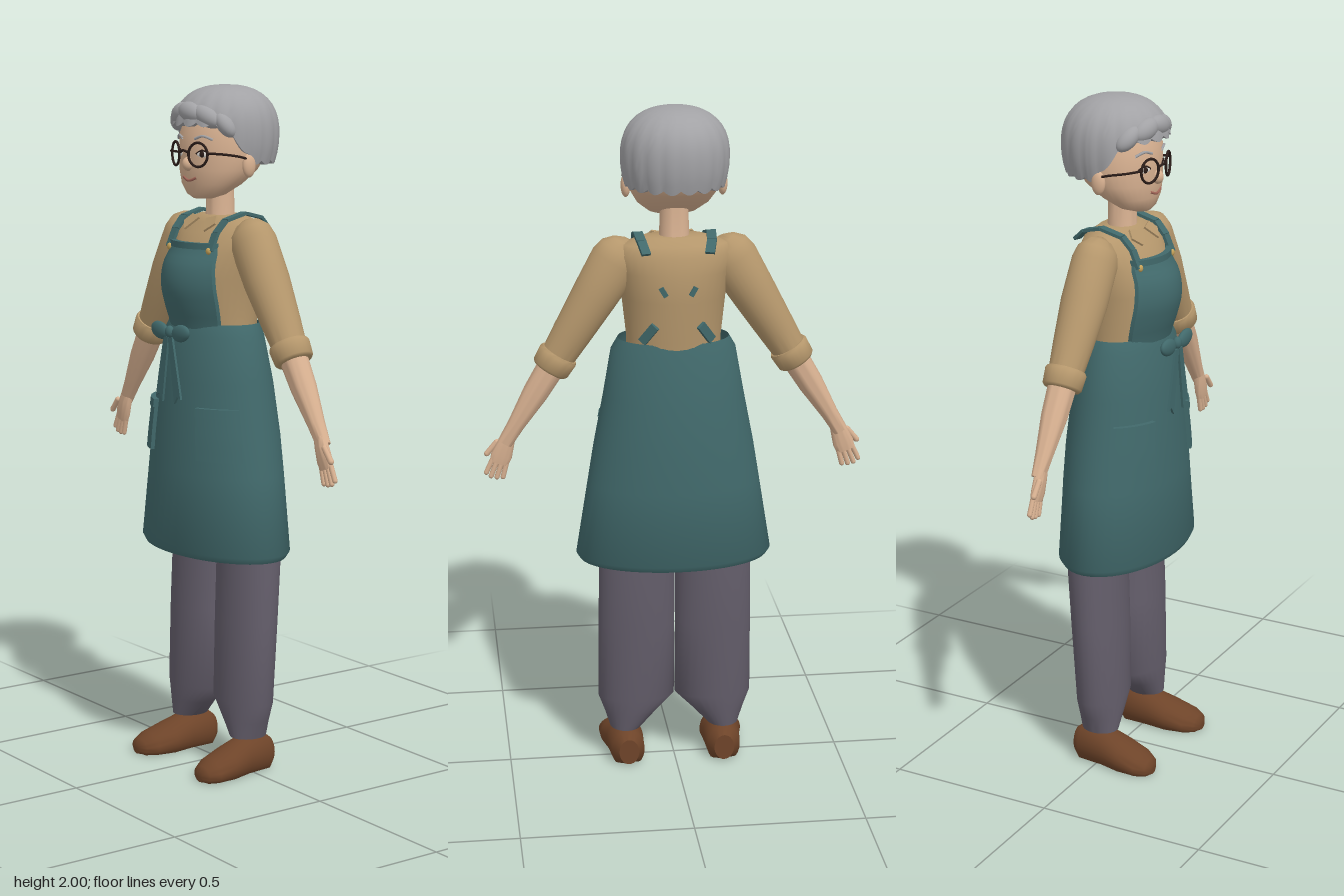
import * as THREE from 'three';
import { toCreasedNormals } from 'three/addons/utils/BufferGeometryUtils.js';

const mat = (name, color, side = THREE.FrontSide) => {
  const m = new THREE.MeshStandardMaterial({ color, side });
  m.name = name;
  return m;
};

// Closed rings joined from bottom to top; ring(i, t) gives the point at angle t (0 = front).
function rings(count, segs, ring, crease = 0.9) {
  const pos = [], idx = [];
  for (let i = 0; i < count; i++)
    for (let j = 0; j < segs; j++) pos.push(...ring(i, (j / segs) * Math.PI * 2));
  for (let i = 0; i < count - 1; i++)
    for (let j = 0; j < segs; j++) {
      const k = (j + 1) % segs, a = i * segs, b = a + segs;
      idx.push(a + j, a + k, b + k, a + j, b + k, b + j);
    }
  const g = new THREE.BufferGeometry();
  g.setAttribute('position', new THREE.Float32BufferAttribute(pos, 3));
  g.setIndex(idx);
  return toCreasedNormals(g, crease);
}

// Elliptical sections: [y, centreX, radiusX, frontZ, backZ]; ends are closed unless open.
function loft(sections, { segs = 28, open = false, side = 1 } = {}) {
  const s = sections.slice();
  if (!open) {
    const tip = ([y, cx, , f, b]) => [y, cx, 0.0001, (f + b) / 2 + 0.0001, (f + b) / 2 - 0.0001];
    s.unshift(tip(s[0]));
    s.push(tip(s[s.length - 1]));
  }
  return rings(s.length, segs, (i, t) => {
    const [y, cx, rx, f, b] = s[i];
    return [side * cx + rx * Math.sin(t), y, (f + b) / 2 + ((f - b) / 2) * Math.cos(t)];
  });
}

// Move every vertex of a unit box by a rule of (u, v, w), each -0.5 to 0.5.
function warpedBox(nu, nv, rule) {
  const g = new THREE.BoxGeometry(1, 1, 1, nu, nv, 1), p = g.attributes.position;
  for (let i = 0; i < p.count; i++) p.setXYZ(i, ...rule(p.getX(i), p.getY(i), p.getZ(i)));
  g.computeVertexNormals();
  return g;
}

export function createModel() {
  const model = new THREE.Group();
  const teal = mat('apron teal', 0x41696b, THREE.DoubleSide);
  const tan = mat('shirt tan', 0xb5976c);
  const skin = mat('skin', 0xd8b191);
  const grey = mat('hair grey', 0xa2a2a5, THREE.DoubleSide);
  const plum = mat('trouser grey', 0x645e6b);
  const brown = mat('shoe brown', 0x6e4429);
  const dark = mat('glasses dark', 0x2b1d19);
  const white = mat('eye white', 0xeeeae4);
  const brass = mat('button brass', 0xc7a35a);
  const rose = mat('lip rose', 0xa5685a);

  const add = (name, geo, material, p = [0, 0, 0], parent = model) => {
    const m = new THREE.Mesh(geo, material);
    m.name = name;
    m.position.set(...p);
    parent.add(m);
    return m;
  };
  const ball = (name, material, p, scale, parent) => {
    const m = add(name, new THREE.SphereGeometry(1, 20, 14), material, p, parent);
    m.scale.set(...scale);
    return m;
  };
  // Straight strip between two points
  const bar = (name, material, a, b, w, h) => {
    const A = new THREE.Vector3(...a), B = new THREE.Vector3(...b);
    const m = add(name, new THREE.BoxGeometry(w, h, A.distanceTo(B)), material, A.clone().lerp(B, 0.5).toArray());
    m.lookAt(B);
    return m;
  };
  const tube = (name, material, pts, r) => add(name,
    new THREE.TubeGeometry(new THREE.CatmullRomCurve3(pts.map(p => new THREE.Vector3(...p))), 14, r, 6), material);

  // Shirt and neck
  add('shirt', loft([[1.22, 0, 0.14, 0.11, -0.1], [1.33, 0, 0.137, 0.115, -0.105], [1.45, 0, 0.15, 0.135, -0.12],
    [1.53, 0, 0.165, 0.108, -0.12], [1.58, 0, 0.175, 0.075, -0.108], [1.61, 0, 0.155, 0.048, -0.095],
    [1.63, 0, 0.09, 0.03, -0.07]], { segs: 36 }), tan);
  add('neck', loft([[1.57, 0, 0.05, 0.045, -0.065], [1.63, 0, 0.043, 0.03, -0.052], [1.74, 0, 0.04, 0.03, -0.05]]), skin);

  // Apron skirt, hem turned in
  const skirt = [[0.65, 0, 0.278, 0.166, -0.15], [0.668, 0, 0.29, 0.175, -0.161], [0.89, 0, 0.254, 0.167, -0.157],
    [1.0, 0, 0.236, 0.162, -0.152], [1.155, 0, 0.206, 0.15, -0.137], [1.29, 0, 0.182, 0.133, -0.11],
    [1.325, 0, 0.162, 0.12, -0.1]];
  add('apronSkirt', loft(skirt, { segs: 48, open: true }), teal);
  const onSkirt = (t, y, out) => {
    const i = Math.max(1, skirt.findIndex(s => s[0] >= y));
    const A = skirt[i - 1], B = skirt[i], k = (y - A[0]) / (B[0] - A[0]);
    const [, , rx, f, b] = A.map((a, n) => a + (B[n] - a) * k);
    return [(rx + out) * Math.sin(t), y, (f + b) / 2 + ((f - b) / 2 + out) * Math.cos(t)];
  };

  // Apron bib
  const bibZ = new THREE.SplineCurve([[0, 0.124], [0.3, 0.143], [0.6, 0.156], [0.82, 0.147], [1, 0.113]]
    .map(p => new THREE.Vector2(...p)));
  add('apronBib', warpedBox(16, 14, (u, v, w) => {
    const k = v + 0.5, x = 2 * u * (0.118 + 0.07 * k * (1 - k) - 0.014 * k);
    return [x, 1.31 + 0.24 * k, bibZ.getPoint(k).y - 3.3 * x * x + w * 0.012];
  }), teal);
  add('bibTopHem', warpedBox(16, 1, (u, v, w) => [u * 0.214, 1.547 + v * 0.018, 0.118 - 0.151 * u * u + w * 0.018]), teal);

  for (const s of [1, -1]) {
    // Shoulder straps, with the strap ends showing on the back
    const path = [[0.1, 1.535, 0.098], [0.1, 1.585, 0.076], [0.103, 1.62, 0.045], [0.105, 1.638, -0.02], [0.1, 1.625, -0.075], [0.09, 1.595, -0.108]];
    for (let i = 0; i < path.length - 1; i++)
      bar('shoulderStrap', teal, [s * path[i][0], ...path[i].slice(1)], [s * path[i + 1][0], ...path[i + 1].slice(1)], 0.027, 0.009);
    bar('backStrap', teal, [s * 0.1, 1.335, -0.083], [s * 0.065, 1.385, -0.104], 0.012, 0.026);
    bar('backStrap', teal, [s * 0.05, 1.5, -0.116], [s * 0.035, 1.475, -0.119], 0.008, 0.014);
    ball('strapButton', brass, [s * 0.097, 1.535, 0.1], [0.01, 0.01, 0.006]);

    // Collar flap
    const flap = new THREE.Shape([[0, 0], [0.03 * s, -0.045], [0.058 * s, -0.015], [0.04 * s, 0.012]].map(p => new THREE.Vector2(...p)));
    add('collarFlap', new THREE.ExtrudeGeometry(flap, { depth: 0.006, bevelEnabled: false }), tan, [s * 0.018, 1.618, 0.048]).rotation.x = -0.75;

    // Pocket and its top hem, curved around the skirt
    const patch = (y0, y1, out) => warpedBox(10, 6, (u, v, w) =>
      onSkirt(s * (0.8 + s * u * 0.68), (y0 + y1) / 2 + v * (y1 - y0), w > 0 ? out : -0.004));
    add('pocket', patch(0.94, 1.09, 0.011), teal);
    add('pocketHem', patch(1.065, 1.09, 0.015), teal);

    // Bow loop and ribbon tail
    ball('bowLoop', teal, [s * 0.052, 1.3, 0.165], [0.042, 0.025, 0.013]).rotation.z = s * 0.15;
    const tail = new THREE.Shape([[0, 0], [0.02, 0], [0.062, -0.175], [0.045, -0.168], [0.03, -0.19]]
      .map(([x, y]) => new THREE.Vector2(x * s, y)));
    add('bowTail', new THREE.ExtrudeGeometry(tail, { depth: 0.007, bevelEnabled: false }), teal, [0, 1.285, 0.167]);

    // Trouser leg
    add('trouserLeg', loft([[0.105, 0.148, 0.048, 0.05, -0.062], [0.155, 0.133, 0.078, 0.055, -0.072],
      [0.21, 0.116, 0.115, 0.058, -0.08], [0.45, 0.115, 0.114, 0.056, -0.1], [0.65, 0.113, 0.113, 0.05, -0.115],
      [1.1, 0.09, 0.09, 0.06, -0.1]], { side: s }), plum);

    // Shoe: sections run heel to toe, sole pressed flat on the ground
    const shoe = loft([[-0.085, 0.145, 0.03, -0.005, -0.085], [-0.06, 0.146, 0.05, 0.02, -0.105], [0.02, 0.149, 0.057, 0.02, -0.105],
      [0.08, 0.154, 0.064, 0.02, -0.083], [0.14, 0.16, 0.058, 0.02, -0.062], [0.17, 0.163, 0.04, 0.01, -0.045],
      [0.181, 0.164, 0.018, 0, -0.03]], { side: s }).rotateX(Math.PI / 2);
    const sp = shoe.attributes.position;
    for (let i = 0; i < sp.count; i++) sp.setY(i, Math.max(0, sp.getY(i)));
    shoe.deleteAttribute('normal');
    add('shoe', toCreasedNormals(shoe, 0.8), brown);

    // Arm, built hanging down and then swung outward
    const arm = new THREE.Group();
    arm.name = s > 0 ? 'leftArm' : 'rightArm';
    arm.position.set(s * 0.168, 1.555, -0.008);
    arm.rotation.z = s * 0.55;
    model.add(arm);
    const round = (y, r, k = 1) => [y, 0, r, r * k, -r * k];
    add('sleeve', loft([round(-0.36, 0.046), round(-0.25, 0.056), round(-0.12, 0.066), round(0, 0.074, 0.86),
      round(0.035, 0.066, 0.84), round(0.06, 0.043, 0.8), round(0.073, 0.015, 0.8)]), tan, [0, 0, 0], arm);
    add('cuff', loft([round(-0.37, 0.05), round(-0.363, 0.056), round(-0.32, 0.059), round(-0.313, 0.055)]), tan, [0, 0, 0], arm);
    add('forearm', loft([round(-0.625, 0.022, 0.85), round(-0.56, 0.025), round(-0.45, 0.037), round(-0.34, 0.041)]), skin, [0, 0, 0], arm);

    // Hand with four fingers and a thumb
    const hand = new THREE.Group();
    hand.name = 'hand';
    hand.position.set(0, -0.605, 0.004);
    hand.rotation.z = -s * 0.2;
    arm.add(hand);
    add('palm', loft([[-0.085, 0, 0.028, 0.011, -0.011], [-0.06, 0, 0.031, 0.015, -0.014], [-0.02, 0, 0.025, 0.017, -0.015],
      [0.01, 0, 0.02, 0.016, -0.016]]), skin, [0, 0, 0], hand);
    for (let i = 0; i < 4; i++) {
      const f = add('finger', new THREE.CapsuleGeometry(0.0075, [0.042, 0.054, 0.058, 0.046][i], 4, 8), skin,
        [s * (i - 1.5) * 0.0155, -0.1, 0], hand);
      f.rotation.z = s * (i - 1.5) * 0.06;
    }
    const thumb = add('thumb', new THREE.CapsuleGeometry(0.0085, 0.045, 4, 8), skin, [s * 0.033, -0.05, 0.012], hand);
    thumb.rotation.z = s * 0.35;

    // Ear, eye, brow
    ball('ear', skin, [s * 0.138, 1.775, -0.012], [0.014, 0.034, 0.021]);
    const plate = (name, m, y, z, sx, sy) => {
      const e = ball(name, m, [s * 0.055, y, z], [sx, sy, 0.004]);
      e.rotation.y = s * 0.4;
    };
    plate('eyeWhite', white, 1.806, 0.089, 0.02, 0.009);
    plate('iris', dark, 1.806, 0.092, 0.008, 0.009);
    tube('eyelid', dark, [[s * 0.034, 1.807, 0.097], [s * 0.055, 1.817, 0.091], [s * 0.077, 1.807, 0.08]], 0.0025);
    tube('eyebrow', grey, [[s * 0.03, 1.849, 0.099], [s * 0.058, 1.857, 0.091], [s * 0.085, 1.847, 0.075]], 0.004);

    // Glasses
    add('lensRim', new THREE.TorusGeometry(0.034, 0.0038, 8, 28), dark, [s * 0.055, 1.805, 0.106]).rotation.y = s * 0.3;
    tube('glassesTemple', dark, [[s * 0.088, 1.81, 0.097], [s * 0.128, 1.808, 0.07], [s * 0.143, 1.8, 0.02], [s * 0.14, 1.79, -0.015]], 0.0035);
  }
  ball('bowKnot', teal, [0, 1.3, 0.167], [0.016, 0.018, 0.013]);
  tube('glassesBridge', dark, [[-0.022, 1.81, 0.115], [0, 1.816, 0.119], [0.022, 1.81, 0.115]], 0.0035);

  // Head, nose, smile
  add('head', loft([[1.678, 0, 0.03, 0.075, 0.02], [1.69, 0, 0.068, 0.086, -0.01], [1.72, 0, 0.103, 0.096, -0.06],
    [1.76, 0, 0.126, 0.1, -0.11], [1.8, 0, 0.135, 0.1, -0.14], [1.86, 0, 0.137, 0.1, -0.155], [1.93, 0, 0.12, 0.07, -0.14],
    [1.97, 0, 0.07, 0.03, -0.09]], { segs: 36 }), skin);
  ball('nose', skin, [0, 1.777, 0.101], [0.017, 0.02, 0.018]);
  tube('smile', rose, [[-0.032, 1.739, 0.094], [0, 1.73, 0.099], [0.032, 1.739, 0.094]], 0.004);

  // Hair: domed cap, long behind and lifted over the forehead, grooved near its edge
  const rows = 14;
  add('hair', rings(rows + 1, 108, (i, t) => {
    const a = Math.min(t, Math.PI * 2 - t), groove = Math.abs(Math.sin(t * 9));
    const lift = 1 - THREE.MathUtils.smoothstep(a, 0.75, 1.65);
    const edge = 1.787 + 0.108 * lift - 0.012 * groove;
    const v = Math.max(0, i - 1) / (rows - 1);
    const y = edge + (2 - edge) * Math.sin((v * Math.PI) / 2);
    const q = (y - 1.86) / 0.14;
    let r = q > 0 ? Math.pow(Math.max(0, 1 - Math.pow(q, 2.4)), 1 / 2.4) : 1 - 0.25 * q * q;
    r *= i === 0 ? 0.86 : 1 + 0.03 * (groove - 0.7) * (1 - v);
    return [0.154 * r * Math.sin(t), y, -0.031 + 0.154 * r * Math.cos(t)];
  }, 0.7), grey);

  // Fringe locks swept to one side
  for (const [x, y, z, w, h, tilt] of [[-0.1, 1.9, 0.06, 0.045, 0.026, 0.7], [-0.05, 1.918, 0.088, 0.05, 0.03, 0.35],
    [0.01, 1.922, 0.096, 0.052, 0.03, -0.2], [0.065, 1.912, 0.08, 0.05, 0.028, -0.45], [0.11, 1.89, 0.05, 0.042, 0.024, -0.9]]) {
    const lock = ball('fringeLock', grey, [x, y, z], [w, h, 0.028]);
    lock.rotation.set(0, x * 5, tilt);
  }
  return model;
}
